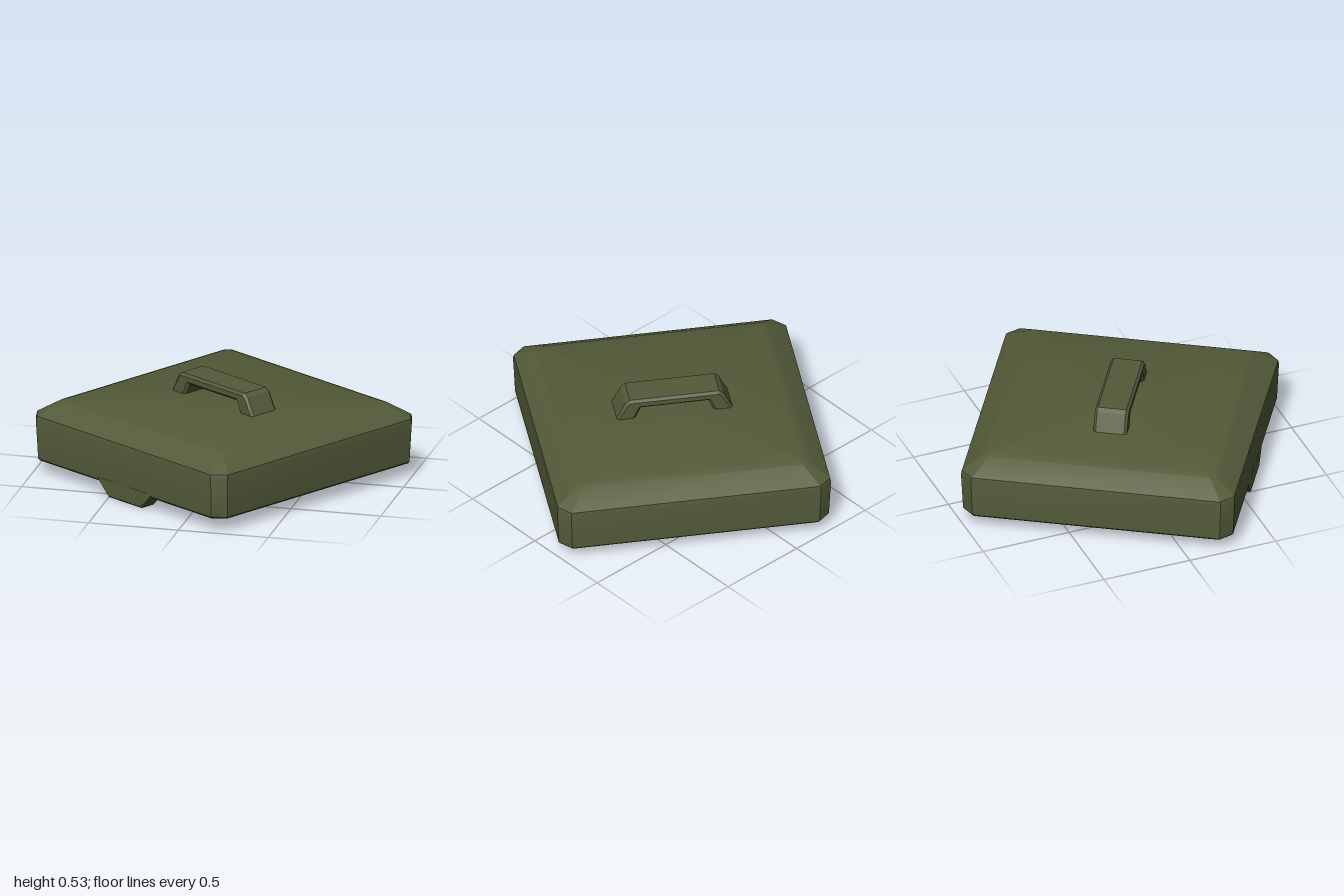
import * as THREE from 'three';
import { toCreasedNormals } from 'three/addons/utils/BufferGeometryUtils.js';

const material = new THREE.MeshStandardMaterial({ color: 0x535b39 });

// Square ring with cut corners, counter-clockwise seen from above
function ring([half, cut, y]) {
  const points = [];
  for (let i = 0; i < 4; i++) {
    const c = Math.round(Math.cos(i * Math.PI / 2)), s = Math.round(Math.sin(i * Math.PI / 2));
    for (const side of [-1, 1]) {
      const a = half, b = side * (half - cut);
      points.push([a * c - b * s, y, -(a * s + b * c)]);
    }
  }
  return points;
}

// Skin a closed surface through a stack of rings; half = 0 closes an end
function loft(sections) {
  const positions = [];
  for (let k = 0; k < sections.length - 1; k++) {
    const low = ring(sections[k]), high = ring(sections[k + 1]);
    for (let i = 0; i < 8; i++) {
      const j = (i + 1) % 8;
      if (sections[k][0] > 0) positions.push(...low[i], ...low[j], ...high[j]);
      if (sections[k + 1][0] > 0) positions.push(...low[i], ...high[j], ...high[i]);
    }
  }
  const geometry = new THREE.BufferGeometry();
  geometry.setAttribute('position', new THREE.Float32BufferAttribute(positions, 3));
  return toCreasedNormals(geometry, 0.4);
}

// Extrude an outline along z between z0 and z1, with bevels kept inside it
function extrude(outline, z0, z1, bevel) {
  const shape = new THREE.Shape(outline.map(([x, y]) => new THREE.Vector2(x, y)));
  const geometry = new THREE.ExtrudeGeometry(shape, {
    depth: z1 - z0 - 2 * bevel, bevelEnabled: bevel > 0, bevelThickness: bevel,
    bevelSize: bevel, bevelOffset: -bevel, bevelSegments: 1,
  });
  geometry.translate(0, 0, z0 + bevel);
  return toCreasedNormals(geometry, 0.4);
}

// Complete the left half of an outline with its mirror image
const mirrored = (half) => [...half, ...half.map(([x, y]) => [-x, y]).reverse()];

export function createModel() {
  const group = new THREE.Group();
  group.name = 'squareLid';
  const add = (name, geometry) => {
    const mesh = new THREE.Mesh(geometry, material);
    mesh.name = name;
    group.add(mesh);
  };

  // Lid: shallow recess below, rim, upright sides, sloped shoulder, flat top
  add('lid', loft([
    [0, 0, 0.14],
    [0.62, 0.02, 0.14],
    [0.635, 0.02, 0.085],
    [0.643, 0.02, 0.075],
    [0.732, 0.06, 0.075],
    [0.74, 0.063, 0.085],
    [0.75, 0.065, 0.305],
    [0.746, 0.065, 0.328],
    [0.635, 0.03, 0.403],
    [0.6, 0.02, 0.416],
    [0, 0, 0.416],
  ]));

  // Stiffening rib across the recess
  add('undersideRib', extrude(
    mirrored([[-0.135, 0.145], [-0.115, 0.108]]), -0.625, 0.625, 0));

  // Tab hanging below the front rim
  add('frontTab', extrude(
    mirrored([[-0.222, 0.1], [-0.138, 0.008], [-0.128, 0]]), 0.643, 0.741, 0.008));

  // Arched carrying handle
  add('handle', extrude(
    mirrored([[-0.22, 0.4], [-0.325, 0.4], [-0.268, 0.513], [-0.245, 0.53]])
      .concat([[0.22, 0.4], [0.185, 0.475], [-0.185, 0.475]])
      .filter((p, i, all) => all.findIndex((q) => q[0] === p[0] && q[1] === p[1]) === i),
    -0.092, 0.092, 0.014));

  group.rotation.y = -0.562;
  return group;
}
